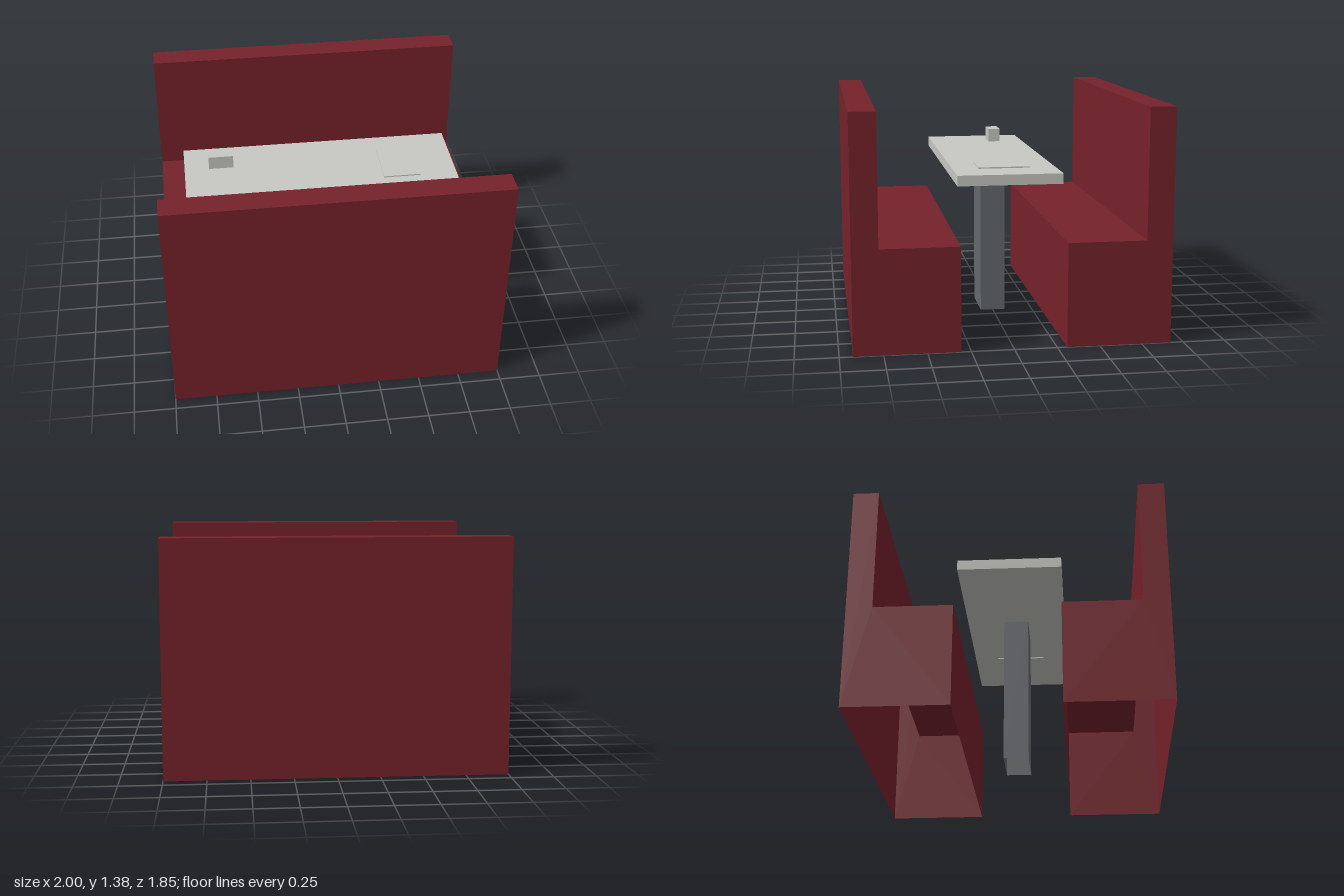
import * as THREE from 'three';

const U = 1 / 13; // module grid: the booth is 26 units long

// Removes the downward faces so a part is a hollow shell standing on the floor
function openBottom(geometry) {
  const g = geometry.index ? geometry.toNonIndexed() : geometry;
  const normal = g.attributes.normal;
  const keep = [];
  for (let i = 0; i < normal.count; i += 3) {
    if (normal.getY(i) > -0.9) keep.push(i, i + 1, i + 2);
  }
  g.clearGroups();
  g.setIndex(keep);
  return g;
}

// Box given by its limits in grid units
function boxGeometry(x0, x1, y0, y1, z0, z1) {
  const g = new THREE.BoxGeometry((x1 - x0) * U, (y1 - y0) * U, (z1 - z0) * U);
  g.translate(((x0 + x1) / 2) * U, ((y0 + y1) / 2) * U, ((z0 + z1) / 2) * U);
  return g;
}

// L-shaped seat and backrest profile, drawn in (z, y) and swept along x
function benchGeometry() {
  const profile = [[4, 0], [12, 0], [12, 18], [10, 18], [10, 8], [4, 8]];
  const shape = new THREE.Shape(profile.map(([z, y]) => new THREE.Vector2(z * U, y * U)));
  const g = new THREE.ExtrudeGeometry(shape, { depth: 2, bevelEnabled: false });
  g.translate(0, 0, -1);
  g.rotateY(-Math.PI / 2);
  return openBottom(g);
}

export function createModel() {
  const upholstery = new THREE.MeshStandardMaterial({ color: 0x76222b, side: THREE.DoubleSide });
  upholstery.name = 'dark red upholstery';
  const laminate = new THREE.MeshStandardMaterial({ color: 0xc8c8c3 });
  laminate.name = 'pale grey laminate';
  const metal = new THREE.MeshStandardMaterial({ color: 0x66696d, side: THREE.DoubleSide });
  metal.name = 'grey metal';

  const model = new THREE.Group();
  model.name = 'diningBooth';
  const add = (name, geometry, material) => {
    const mesh = new THREE.Mesh(geometry, material);
    mesh.name = name;
    model.add(mesh);
    return mesh;
  };

  // Two facing benches
  const bench = benchGeometry();
  add('frontBench', bench, upholstery);
  add('backBench', bench, upholstery).rotation.y = Math.PI;

  // Table on a single hollow leg
  add('tableLeg', openBottom(boxGeometry(-2, 2, 0, 12.1, -1, 1)), metal);
  add('tableTop', boxGeometry(-11, 11, 12.1, 12.9, -4, 4), laminate);

  // Inset plate through the table and a small holder on it
  add('tablePlate', boxGeometry(5, 8, 12, 13, -2, 2), laminate);
  add('tableHolder', boxGeometry(-9, -7, 12.9, 14, -2, -1), laminate);

  return model;
}
